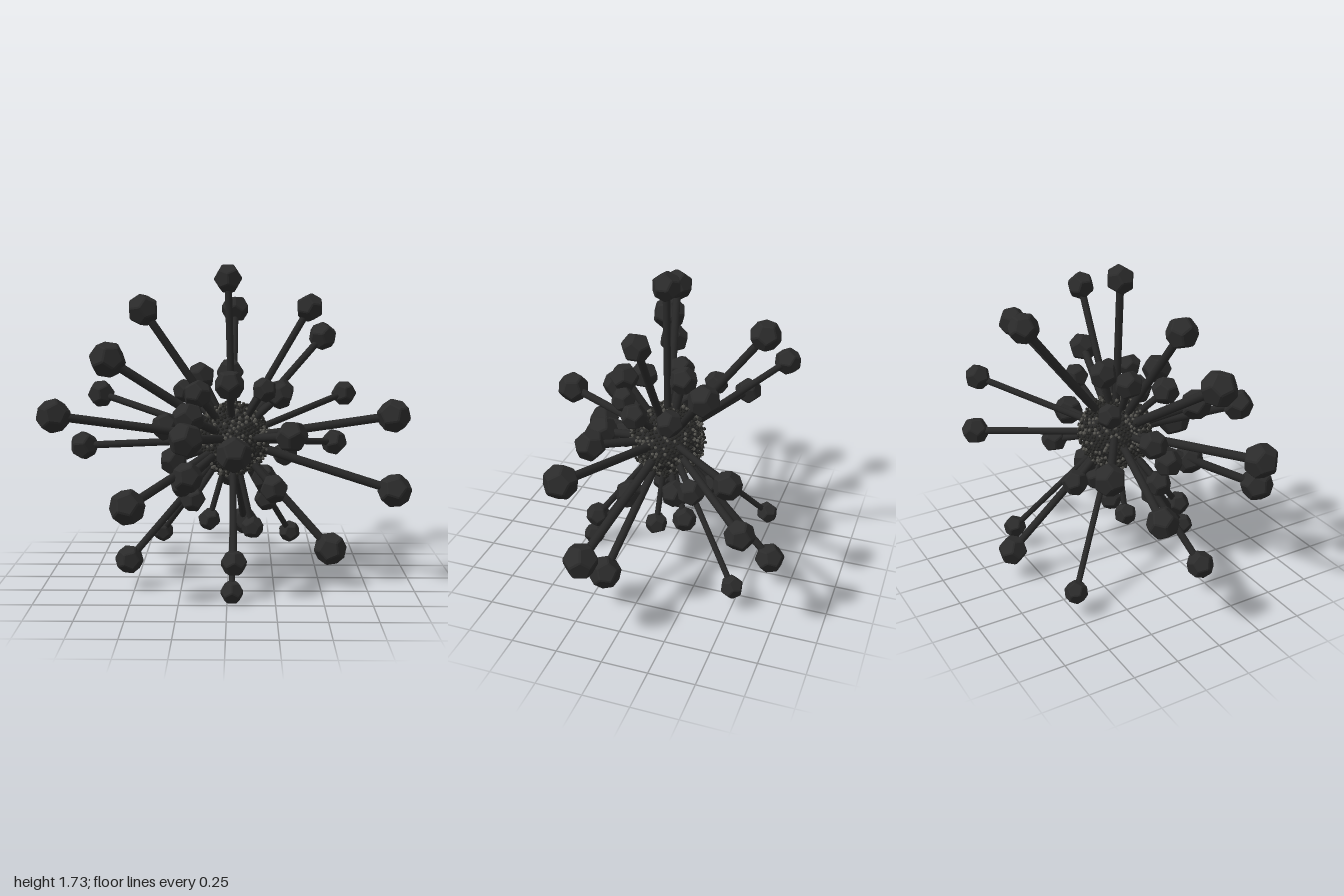
import * as THREE from 'three';
import { mergeGeometries } from 'three/addons/utils/BufferGeometryUtils.js';
import { ConvexGeometry } from 'three/addons/geometries/ConvexGeometry.js';

const CORE = new THREE.Vector3(0.025, 0.79, -0.02);

// Knob positions and radii: x, y, z, r
const KNOBS = [
  // upper long arms
  [0, 1.665, 0, 0.075], [0.035, 1.485, -0.54, 0.078], [-0.45, 1.5, 0.09, 0.082],
  [0.44, 1.51, 0, 0.073], [0.54, 1.335, -0.375, 0.078], [-0.63, 1.245, 0.2, 0.093],
  // middle long arms
  [-0.91, 0.955, 0.265, 0.087], [-0.76, 0.985, -0.495, 0.076], [-0.83, 0.715, -0.245, 0.078],
  [-0.495, 0.54, 0.578, 0.088], [0.635, 0.68, -0.6, 0.075], [0.9, 0.535, 0.135, 0.088],
  [0.87, 0.955, 0.235, 0.085], [0.685, 0.985, -0.545, 0.07], [-0.2, 0.89, 0.64, 0.085],
  // lower long arms
  [-0.53, 0.165, 0.195, 0.073], [-0.4, 0.148, -0.5, 0.06], [0.025, 0.06, 0.44, 0.059],
  [0.035, 0.207, 0.41, 0.067], [0.09, 0.182, -0.638, 0.078], [0.365, 0.148, -0.5, 0.061],
  [0.555, 0.217, 0.155, 0.085],
];
const SHORT_KNOBS = [
  // upper short arms
  [0.28, 1.04, 0.08, 0.068], [0.295, 1.04, -0.12, 0.07], [0.195, 1.083, 0.17, 0.064],
  [0.01, 1.115, 0.235, 0.077], [0.01, 1.15, -0.1, 0.074], [-0.147, 1.135, -0.035, 0.074],
  [-0.16, 1.06, 0.185, 0.074], [-0.25, 1.035, -0.207, 0.064],
  // middle short arms
  [-0.2, 0.955, 0.36, 0.082], [-0.345, 0.86, 0, 0.074], [0.335, 0.855, 0.31, 0.082],
  [0.035, 0.77, 0.37, 0.09], [-0.29, 0.695, 0.13, 0.074], [-0.21, 0.637, 0.315, 0.08],
  [0.325, 0.67, -0.25, 0.07],
  // lower short arms
  [-0.24, 0.555, 0.1, 0.068], [-0.19, 0.475, 0.095, 0.066], [0.25, 0.54, 0.125, 0.075],
  [0.2, 0.56, -0.115, 0.07], [0.015, 0.545, -0.28, 0.07], [0.215, 0.418, -0.18, 0.064],
  [-0.105, 0.335, -0.03, 0.06], [0.135, 0.3, 0.012, 0.06],
];

// Dodecahedron with bevelled edges, outer radius 1
function bevelledKnob() {
  const pos = new THREE.DodecahedronGeometry(1).attributes.position;
  const points = [];
  const p = new THREE.Vector3(), centre = new THREE.Vector3();
  for (let face = 0; face < 12; face++) {
    const corners = [];
    for (let i = face * 9; i < face * 9 + 9; i++) {
      p.fromBufferAttribute(pos, i);
      if (!corners.some((c) => c.distanceTo(p) < 1e-3)) corners.push(p.clone());
    }
    centre.set(0, 0, 0);
    corners.forEach((c) => centre.add(c));
    centre.divideScalar(corners.length);
    corners.forEach((c) => points.push(c.lerp(centre, 0.14).multiplyScalar(1.1)));
  }
  return new ConvexGeometry(points);
}

function seeded(seed) {
  return () => (seed = (seed * 16807) % 2147483647) / 2147483647;
}

export function createModel() {
  const model = new THREE.Group();
  model.name = 'spikyCluster';
  const material = (name, color) => {
    const m = new THREE.MeshStandardMaterial({ color });
    m.name = name;
    return m;
  };
  const knobColour = material('charcoal', 0x2b2b2b);
  const stemColour = material('dark charcoal', 0x282828);
  const grainColours = [material('black grain', 0x272725), material('grey grain', 0x55544f)];

  const add = (name, geometry, mat, parent = model) => {
    const mesh = new THREE.Mesh(geometry, mat);
    mesh.name = name;
    parent.add(mesh);
    return mesh;
  };

  // Core ball
  const core = add('core', new THREE.IcosahedronGeometry(0.185, 3), stemColour);
  core.position.copy(CORE);

  // Grains scattered evenly over the core
  const random = seeded(77);
  const grains = [[], []];
  const count = 1000;
  for (let i = 0; i < count; i++) {
    const y = 1 - (2 * (i + 0.5)) / count;
    const a = i * 2.39996;
    const s = Math.sqrt(1 - y * y);
    const grain = new THREE.IcosahedronGeometry(0.008 + random() * 0.004, 0);
    const d = 0.185 + random() * 0.022;
    grain.translate(CORE.x + s * Math.cos(a) * d, CORE.y + y * d, CORE.z + s * Math.sin(a) * d);
    grains[random() < 0.3 ? 1 : 0].push(grain);
  }
  grains.forEach((list, i) => add(i ? 'greyGrains' : 'blackGrains', mergeGeometries(list), grainColours[i]));

  // Arms: a stem from the core with a faceted knob at the end
  const knobGeometry = bevelledKnob();
  const up = new THREE.Vector3(0, 1, 0);
  [...KNOBS, ...SHORT_KNOBS].forEach(([x, y, z, r]) => {
    const arm = new THREE.Group();
    arm.name = 'arm';
    const direction = new THREE.Vector3(x, y, z).sub(CORE);
    const length = direction.length();
    arm.position.copy(CORE);
    arm.quaternion.setFromUnitVectors(up, direction.normalize());

    const stem = add('stem', new THREE.CylinderGeometry(r * 0.27, r * 0.27, length, 10, 1, true), stemColour, arm);
    stem.position.y = length / 2;
    const knob = add('knob', knobGeometry, knobColour, arm);
    knob.position.y = length;
    knob.scale.setScalar(r);
    model.add(arm);
  });
  return model;
}
